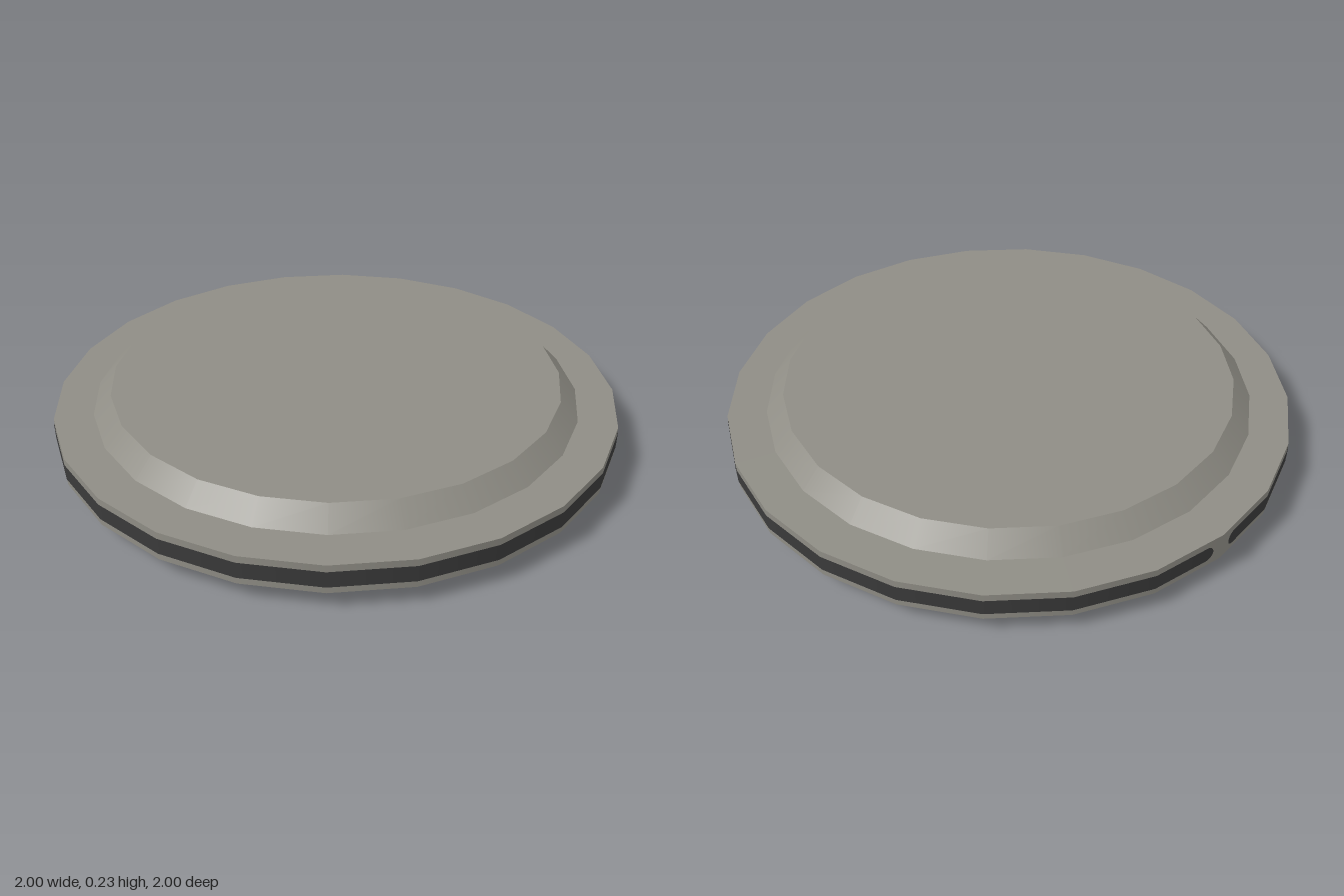
import * as THREE from 'three';

const SIDES = 24;
const MID = 0.1175;      // height of the disc's middle plane
const RIM_HALF = 0.0505; // half thickness of the flange
const RAISED = 0.067;    // height of each bevelled plate

export function createModel() {
  const group = new THREE.Group();
  const stone = new THREE.MeshStandardMaterial({ color: 0x8f8d85 });
  stone.name = 'warm grey';
  const dark = new THREE.MeshStandardMaterial({ color: 0x3a3a3a, side: THREE.DoubleSide });
  dark.name = 'dark grey';

  const add = (name, geometry, material, y) => {
    const mesh = new THREE.Mesh(geometry, material);
    mesh.name = name;
    mesh.position.y = y;
    group.add(mesh);
  };

  // Flange and the bevelled plates above and below it
  add('flange', new THREE.CylinderGeometry(1, 1, RIM_HALF * 2, SIDES), stone, MID);
  const plateY = RIM_HALF + RAISED / 2;
  add('upperPlate', new THREE.CylinderGeometry(0.8, 0.865, RAISED, SIDES), stone, MID + plateY);
  add('lowerPlate', new THREE.CylinderGeometry(0.865, 0.8, RAISED, SIDES), stone, MID - plateY);

  // Dark band round the rim, with rounded ends and a small gap at the back
  add('rimBand', bandGeometry(0.028, 0.036), dark, MID);
  return group;
}

// A strip lying on the rim's flat sides; distances along it are counted in sides
function bandGeometry(half, gap) {
  const step = (Math.PI * 2) / SIDES;
  const start = gap / step;
  const round = half / step;
  const columns = [];
  for (let i = 0; i <= 6; i++) {
    const a = (i / 6) * Math.PI / 2;
    columns.push([start + round * (1 - Math.cos(a)), half * Math.sin(a)]);
  }
  for (let i = 1; i < SIDES; i++) columns.push([i, half]);
  for (let i = 6; i >= 0; i--) {
    const [t, h] = columns[i];
    columns.push([SIDES - t, h]);
  }

  const positions = [], normals = [], index = [];
  const corner = (k) => {
    const a = Math.PI + k * step;
    return new THREE.Vector3(Math.sin(a), 0, Math.cos(a));
  };
  columns.forEach(([t, h], i) => {
    const k = Math.floor(t);
    const p = corner(k).lerp(corner(k + 1), t - k);
    const n = p.clone().normalize();
    p.multiplyScalar(1.002);
    for (const y of [-h, h]) {
      positions.push(p.x, y, p.z);
      normals.push(n.x, 0, n.z);
    }
    if (i > 0) {
      const b = i * 2;
      index.push(b - 2, b, b + 1, b - 2, b + 1, b - 1);
    }
  });
  const geometry = new THREE.BufferGeometry();
  geometry.setAttribute('position', new THREE.Float32BufferAttribute(positions, 3));
  geometry.setAttribute('normal', new THREE.Float32BufferAttribute(normals, 3));
  geometry.setIndex(index);
  return geometry;
}
